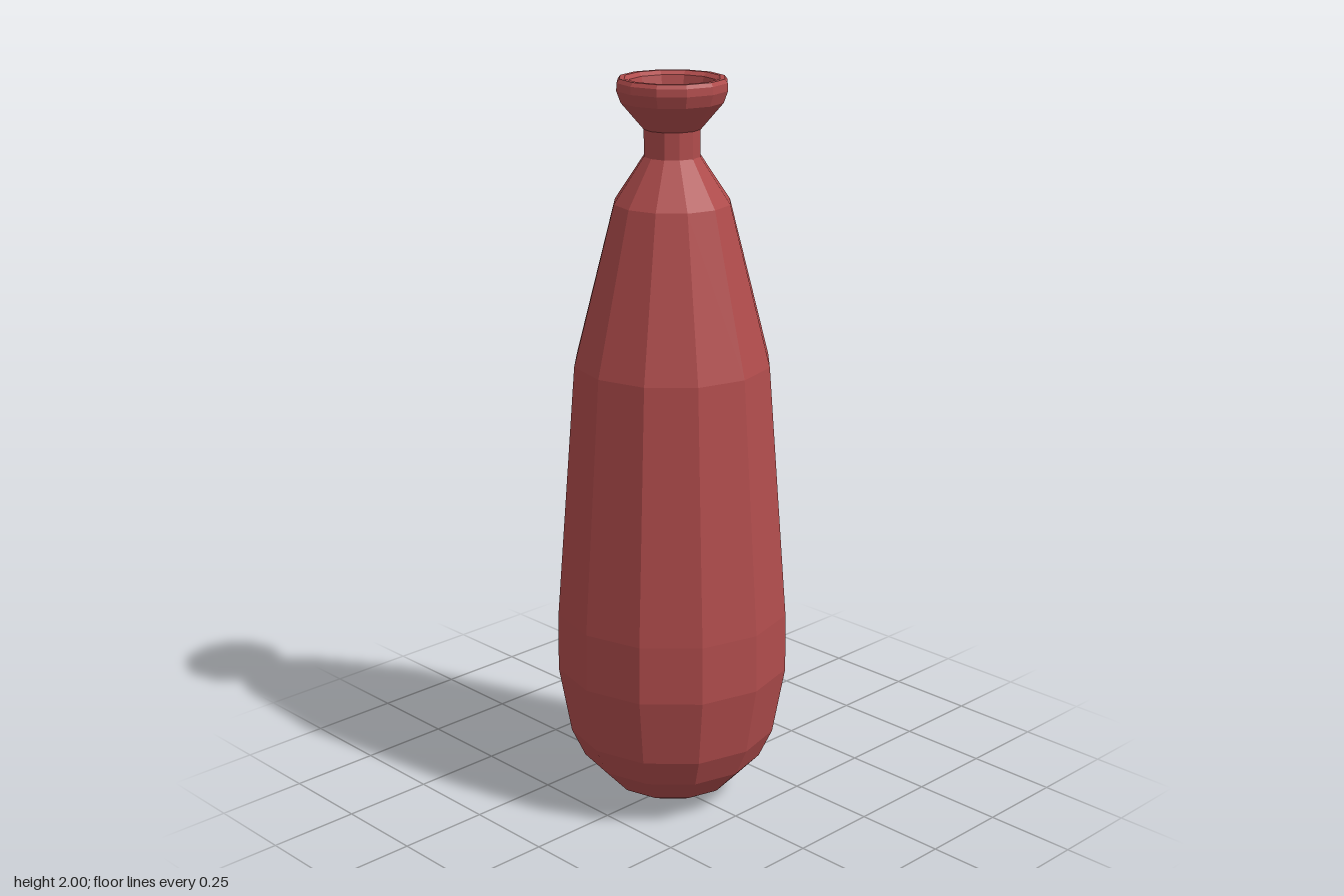
import * as THREE from 'three';

const SIDES = 12;

export function createModel() {
  const model = new THREE.Group();
  model.name = 'vase';

  const clay = new THREE.MeshStandardMaterial({ color: 0xb04c4c, flatShading: true });
  clay.name = 'red clay';

  // Revolve [radius, height] pairs into a faceted part
  const turn = (name, profile) => {
    const points = profile.map(([r, y]) => new THREE.Vector2(r, y));
    const mesh = new THREE.Mesh(new THREE.LatheGeometry(points, SIDES), clay);
    mesh.name = name;
    model.add(mesh);
  };

  // Rounded foot, long belly and shoulder
  turn('body', [
    [0, 0], [0.09, 0.005], [0.175, 0.05], [0.25, 0.13], [0.287, 0.21],
    [0.321, 0.4], [0.319, 0.56], [0.265, 1.255], [0.155, 1.68], [0.075, 1.8],
  ]);

  // Narrow neck and the outside of the flared mouth
  turn('neck', [[0.075, 1.8], [0.075, 1.87], [0.135, 1.94], [0.146, 1.97]]);

  // Rounded rim
  turn('rim', [[0.146, 1.97], [0.145, 1.99], [0.138, 2], [0.125, 2], [0.113, 1.99]]);

  // Inside of the mouth, closed at the neck
  turn('mouth', [[0.113, 1.99], [0.105, 1.955], [0.048, 1.88], [0, 1.88]]);

  return model;
}
